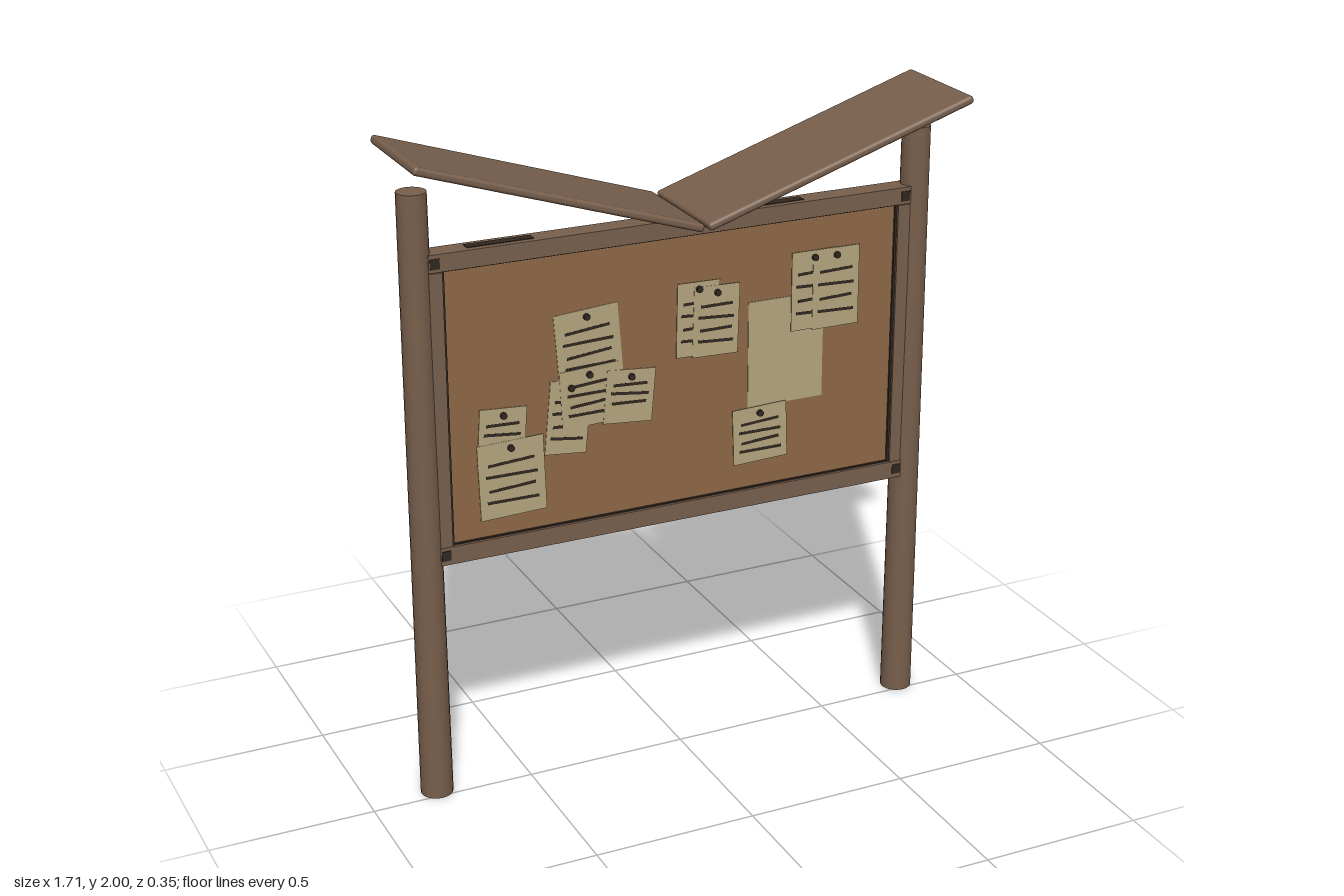
import * as THREE from 'three';
import { RoundedBoxGeometry } from 'three/addons/geometries/RoundedBoxGeometry.js';

export function createModel() {
  const root = new THREE.Group();
  root.name = 'noticeBoard';

  const material = (name, color) => {
    const m = new THREE.MeshStandardMaterial({ color });
    m.name = name;
    return m;
  };
  const wood = material('wood', 0x785f4c);
  const cork = material('cork', 0x8f6847);
  const paper = material('paper', 0xb4a67f);
  const dark = material('darkInk', 0x30271f);

  const add = (name, geometry, mat, x, y, z, parent = root) => {
    const mesh = new THREE.Mesh(geometry, mat);
    mesh.name = name;
    mesh.position.set(x, y, z);
    parent.add(mesh);
    return mesh;
  };
  const box = (w, h, d) => new THREE.BoxGeometry(w, h, d);
  const Z = -0.035; // plane of posts and frame

  // Tapered round posts, roof slabs and frame sides, mirrored
  for (const s of [-1, 1]) {
    const side = s > 0 ? 'left' : 'right';
    const post = new THREE.Group();
    post.name = side + 'Post';
    post.position.set(s * 0.79, 0, Z);
    root.add(post);
    add(side + 'PostShaft', new THREE.CylinderGeometry(0.043, 0.049, 1.87, 20), wood, 0, 0.935, 0, post);

    const roof = add(side + 'Roof', new RoundedBoxGeometry(0.888, 0.025, 0.355, 2, 0.01), wood, s * 0.43, 1.854, 0.002);
    roof.rotation.z = s * 0.313;

    add(side + 'Stile', box(0.04, 0.83, 0.064), wood, s * 0.74, 1.222, Z);
    add(side + 'InnerSeam', box(0.007, 0.83, 0.05), dark, s * 0.7165, 1.222, Z);

    // Dark joints at the frame corners, front and back
    for (const y of [0.782, 1.665]) {
      for (const f of [-1, 1]) add('cornerJoint', box(0.028, 0.03, 0.004), dark, s * 0.742, y, Z + f * 0.0345);
    }
  }

  // Frame rails, with thin seams along the panel
  add('topRail', box(1.52, 0.052, 0.068), wood, 0, 1.666, Z);
  add('bottomRail', box(1.52, 0.055, 0.068), wood, 0, 0.78, Z);
  add('topSeam', box(1.43, 0.004, 0.05), dark, 0, 1.638, Z);
  add('bottomSeam', box(1.43, 0.004, 0.05), dark, 0, 0.8095, Z);
  for (const x of [-0.54, 0.31]) add('topNotch', box(0.2, 0.002, 0.03), dark, x, 1.693, Z);

  // Cork panel
  add('corkPanel', box(1.43, 0.83, 0.036), cork, 0, 1.222, Z);

  // Notes: centre x, y, width, height, tilt, number of written lines
  const notes = [
    [0.355, 1.235, 0.25, 0.333, 0, 0],
    [-0.283, 1.352, 0.2, 0.22, 0.075, 4],
    [-0.35, 1.14, 0.13, 0.225, -0.1, 4],
    [-0.28, 1.195, 0.185, 0.18, 0.05, 4],
    [-0.157, 1.175, 0.155, 0.165, -0.09, 3],
    [-0.557, 1.115, 0.145, 0.18, -0.07, 3],
    [-0.53, 0.985, 0.205, 0.235, 0.03, 4],
    [0.062, 1.38, 0.137, 0.228, -0.02, 4],
    [0.12, 1.367, 0.148, 0.217, -0.03, 4],
    [0.442, 1.415, 0.15, 0.245, 0, 4],
    [0.515, 1.412, 0.155, 0.248, 0, 4],
    [0.267, 0.985, 0.18, 0.178, 0.035, 4],
  ];
  notes.forEach(([x, y, w, h, tilt, lines], i) => {
    const note = new THREE.Group();
    note.name = 'note' + (i + 1);
    note.position.set(x, y, -0.016 + i * 0.001);
    note.rotation.z = tilt;
    root.add(note);
    add('sheet', box(w, h, 0.002), paper, 0, 0, 0, note);
    if (!lines) return;
    for (let k = 0; k < lines; k++) {
      const len = w * (k % 2 ? 0.78 : 0.7);
      const line = add('writing', box(len, 0.009, 0.0006), dark, 0, h * (0.22 - k * 0.17), 0.0012, note);
      line.rotation.z = k % 2 ? -0.04 : 0.03;
    }
    const pin = add('pin', new THREE.CylinderGeometry(0.01, 0.01, 0.012, 10), dark, 0, h * 0.5 - 0.022, 0.005, note);
    pin.rotation.x = Math.PI / 2;
  });

  return root;
}
